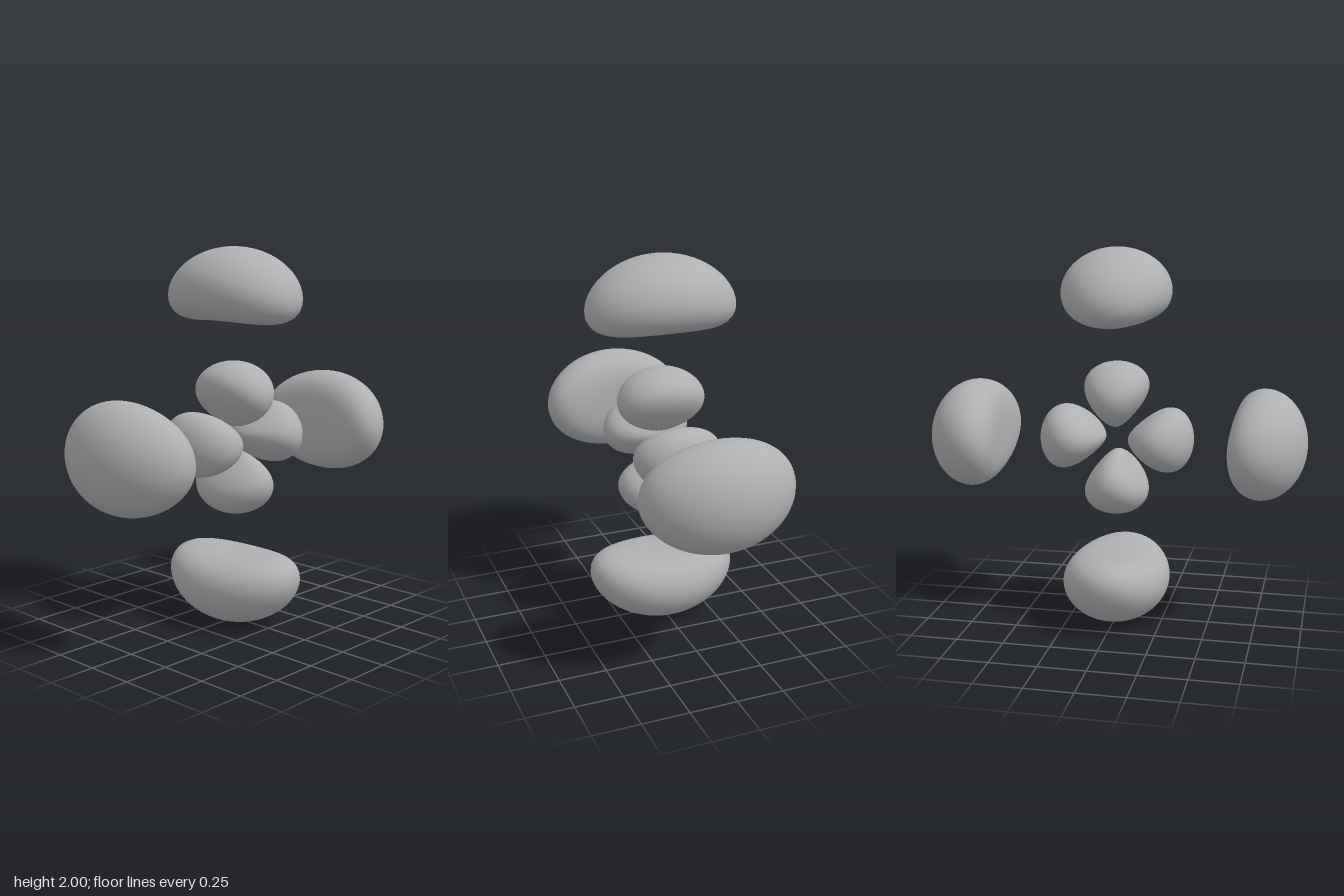
import * as THREE from 'three';

const SCALE = 24.5;  // field units per model unit
const LEVEL = 1.3675; // field strength at the lobe surfaces

// Wave field: two radial shells times a four-leaf angular pattern in the xy plane
function field(p) {
  const r = p.length() * SCALE;
  const leaf = (p.x * p.x - p.y * p.y) * SCALE * SCALE;
  return leaf * (1 - r / 12) * Math.exp(-r / 4);
}

// Lobe on the +x axis: push a sphere's vertices out from the lobe centre to the level surface
function lobeGeometry(centreX, reach, sign) {
  const geometry = new THREE.SphereGeometry(1, 72, 48);
  const position = geometry.attributes.position;
  const normal = geometry.attributes.normal;
  const centre = new THREE.Vector3(centreX, 0, 0);
  const dir = new THREE.Vector3(), p = new THREE.Vector3(), q = new THREE.Vector3(), n = new THREE.Vector3();
  for (let i = 0; i < position.count; i++) {
    dir.fromBufferAttribute(position, i).normalize();
    let lo = 0, hi = reach;
    for (let k = 0; k < 30; k++) {
      const mid = (lo + hi) / 2;
      p.copy(centre).addScaledVector(dir, mid);
      if (sign * field(p) > LEVEL) lo = mid; else hi = mid;
    }
    position.setXYZ(i, p.x, p.y, p.z);
    // smooth normal points down the field's slope
    for (let a = 0; a < 3; a++) {
      const ahead = field(q.copy(p).setComponent(a, p.getComponent(a) + 1e-4));
      const behind = field(q.copy(p).setComponent(a, p.getComponent(a) - 1e-4));
      n.setComponent(a, sign * (behind - ahead));
    }
    n.normalize();
    normal.setXYZ(i, n.x, n.y, n.z);
  }
  return geometry;
}

export function createModel() {
  const model = new THREE.Group();
  model.name = 'orbitalLobes';
  const grey = new THREE.MeshStandardMaterial({ color: 0xb0b0b0 });
  grey.name = 'grey';

  const inner = lobeGeometry(0.23, 0.28, 1);
  const outer = lobeGeometry(0.8, 0.5, -1);

  // Four inner and four outer lobes, a quarter turn apart
  ['Left', 'Top', 'Right', 'Bottom'].forEach((side, i) => {
    for (const [name, geometry] of [['inner', inner], ['outer', outer]]) {
      const lobe = new THREE.Mesh(geometry, grey);
      lobe.name = `${name}Lobe${side}`;
      lobe.position.y = 1;
      lobe.rotation.z = i * Math.PI / 2;
      model.add(lobe);
    }
  });
  return model;
}
